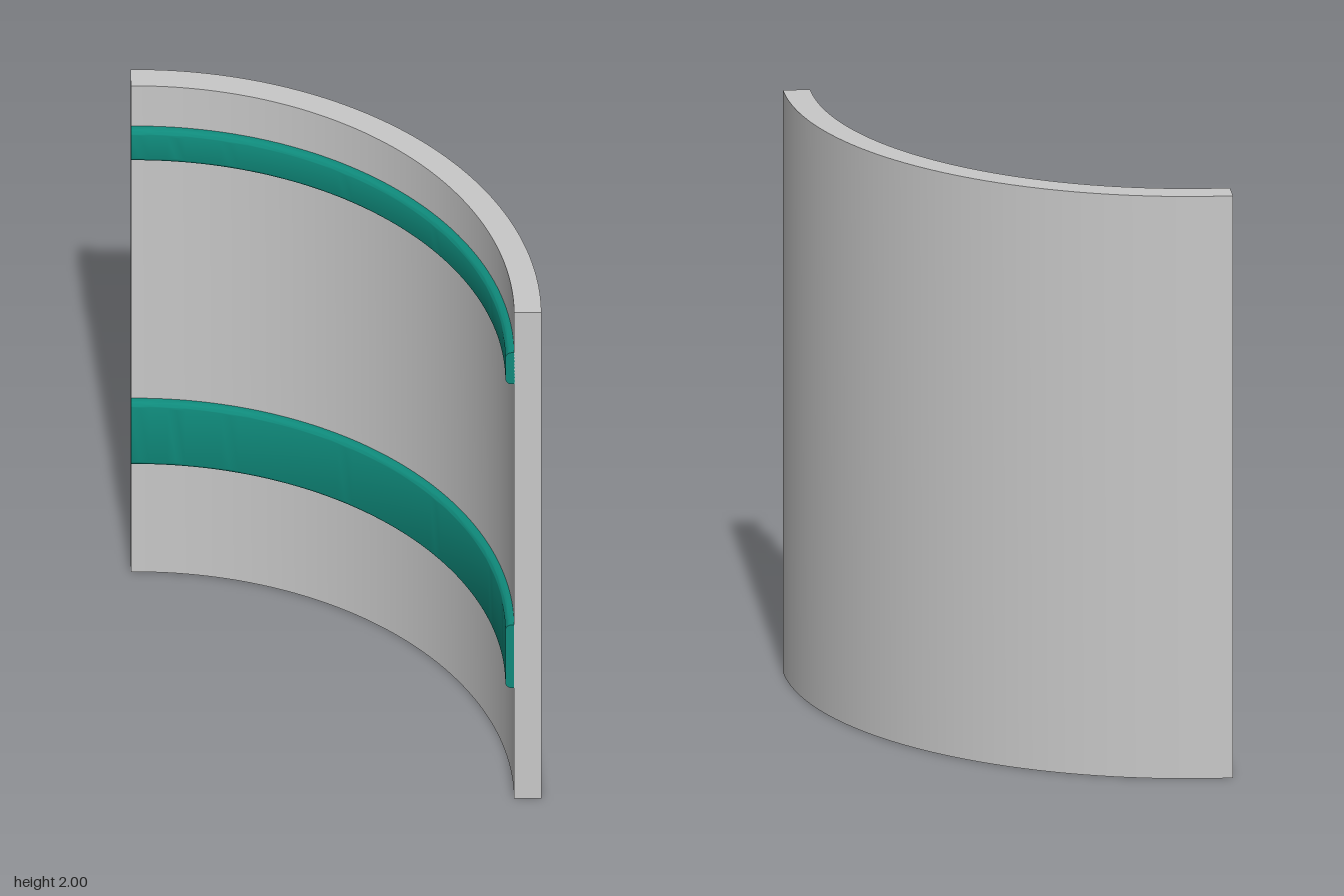
import * as THREE from 'three';
import { mergeGeometries, toCreasedNormals } from 'three/addons/utils/BufferGeometryUtils.js';

const CENTRE_X = -1.0985; // axis of the curved wall
const OUTER = 1.336, INNER = 1.2466, BAND_INNER = 1.2177;
const START = Math.PI / 4, SWEEP = Math.PI / 2;

// Sweeps a closed counter-clockwise (radius, height) profile through a quarter turn and caps both ends
function sweepProfile(shape, segments) {
  const pts = shape.getPoints(6);
  if (!pts[0].equals(pts[pts.length - 1])) pts.push(pts[0].clone());
  const skin = new THREE.LatheGeometry(pts, segments, START, SWEEP);
  const startCap = new THREE.ShapeGeometry(shape, 6).rotateY(START - Math.PI / 2);
  const endCap = new THREE.ShapeGeometry(shape, 6).rotateY(START + SWEEP - Math.PI / 2);
  endCap.setIndex(Array.from(endCap.index.array).reverse());
  return toCreasedNormals(mergeGeometries([skin, startCap, endCap]), 0.6);
}

// Rectangle profile for the wall
function wallProfile() {
  const s = new THREE.Shape();
  s.moveTo(INNER, 0);
  s.lineTo(OUTER, 0);
  s.lineTo(OUTER, 2);
  s.lineTo(INNER, 2);
  s.closePath();
  return s;
}

// Band profile with rounded edges on the hollow side
function bandProfile(y0, y1) {
  const r = 0.022, x0 = BAND_INNER, x1 = INNER + 0.002;
  const s = new THREE.Shape();
  s.moveTo(x0 + r, y0);
  s.lineTo(x1, y0);
  s.lineTo(x1, y1);
  s.lineTo(x0 + r, y1);
  s.absarc(x0 + r, y1 - r, r, Math.PI / 2, Math.PI, false);
  s.lineTo(x0, y0 + r);
  s.absarc(x0 + r, y0 + r, r, Math.PI, Math.PI * 1.5, false);
  return s;
}

export function createModel() {
  const group = new THREE.Group();
  group.name = 'curvedPanel';
  const grey = new THREE.MeshStandardMaterial({ color: 0xc8c8c8 });
  grey.name = 'lightGrey';
  const teal = new THREE.MeshStandardMaterial({ color: 0x0f8a7b });
  teal.name = 'teal';

  const add = (name, shape, material) => {
    const mesh = new THREE.Mesh(sweepProfile(shape, 64), material);
    mesh.name = name;
    mesh.position.x = CENTRE_X;
    group.add(mesh);
  };

  add('curvedWall', wallProfile(), grey);
  add('lowerBand', bandProfile(0.455, 0.715), teal);
  add('upperBand', bandProfile(1.705, 1.835), teal);
  return group;
}
